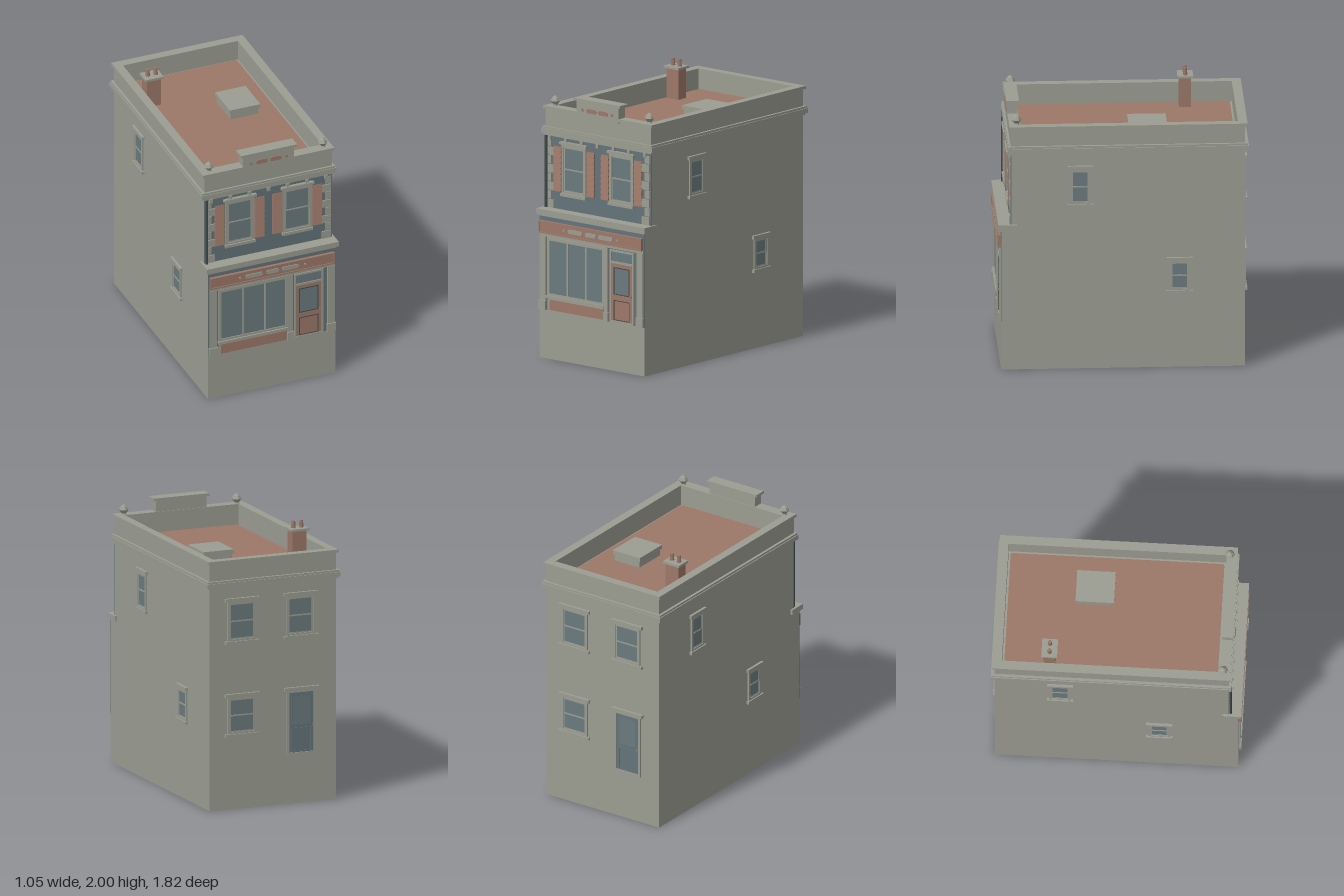
import * as THREE from 'three';

const mat = (name, color) => {
  const m = new THREE.MeshStandardMaterial({ color });
  m.name = name;
  return m;
};

export function createModel() {
  const stone = mat('stone grey', 0x9b9c91);
  const brick = mat('terracotta red', 0x9c7868);
  const slate = mat('slate blue', 0x64747a);
  const glass = mat('window glass', 0x6b7a7e);
  const dark = mat('dark iron', 0x40494c);
  const root = new THREE.Group();
  root.name = 'townhouse';

  const add = (parent, name, geo, m) => {
    const mesh = new THREE.Mesh(geo, m);
    mesh.name = name;
    parent.add(mesh);
    return mesh;
  };
  // Box given by its extents
  const box = (parent, name, m, x0, x1, y0, y1, z0, z1) => {
    const g = new THREE.BoxGeometry(x1 - x0, y1 - y0, z1 - z0);
    g.translate((x0 + x1) / 2, (y0 + y1) / 2, (z0 + z1) / 2);
    return add(parent, name, g, m);
  };
  const rect = (T, x0, x1, y0, y1) => {
    const s = new T();
    s.moveTo(x0, y0); s.lineTo(x1, y0); s.lineTo(x1, y1); s.lineTo(x0, y1); s.closePath();
    return s;
  };
  const roundRect = (x0, x1, y0, y1, r) => {
    const s = new THREE.Shape();
    s.absarc(x1 - r, y1 - r, r, 0, Math.PI / 2);
    s.absarc(x0 + r, y1 - r, r, Math.PI / 2, Math.PI);
    s.absarc(x0 + r, y0 + r, r, Math.PI, Math.PI * 1.5);
    s.absarc(x1 - r, y0 + r, r, Math.PI * 1.5, Math.PI * 2);
    s.closePath();
    return s;
  };
  const extrude = (s, depth) => new THREE.ExtrudeGeometry(s, { depth, bevelEnabled: false, curveSegments: 5 });
  // Horizontal rectangular ring: half width and z range, outside and inside
  const ring = (name, w, zb, zf, iw, izb, izf, y0, y1) => {
    const s = rect(THREE.Shape, -w, w, -zf, -zb);
    s.holes.push(rect(THREE.Path, -iw, iw, -izf, -izb));
    return add(root, name, extrude(s, y1 - y0).rotateX(-Math.PI / 2).translate(0, y0, 0), stone);
  };
  // Upright frame with an opening
  const frame = (parent, name, m, x0, x1, y0, y1, t, z, d) => {
    const s = rect(THREE.Shape, x0, x1, y0, y1);
    s.holes.push(rect(THREE.Path, x0 + t, x1 - t, y0 + t, y1 - t));
    return add(parent, name, extrude(s, d).translate(0, 0, z), m);
  };
  const pill = (name, m, x, y, w, h, z) =>
    add(root, name, extrude(roundRect(x - w / 2, x + w / 2, y - h / 2, y + h / 2, h * 0.49), 0.006).translate(0, 0, z), m);

  // Hollow foundation and main walls
  ring('foundation', 0.5, -0.885, 0.885, 0.49, -0.875, 0.875, 0, 0.36);
  box(root, 'lowerWalls', stone, -0.5, 0.5, 0.36, 1.07, -0.885, 0.88);
  box(root, 'upperWalls', stone, -0.5, 0.5, 1.07, 1.7, -0.885, 0.81);
  box(root, 'shopFrontWall', slate, -0.5, 0.5, 0.362, 1.068, 0.88, 0.885);
  box(root, 'upperFrontWall', slate, -0.5, 0.5, 1.1, 1.642, 0.81, 0.815);

  // Roof, cornice and parapet
  ring('corniceLower', 0.51, -0.895, 0.825, 0.45, -0.835, 0.745, 1.64, 1.655);
  ring('cornice', 0.527, -0.912, 0.835, 0.45, -0.835, 0.745, 1.655, 1.69);
  ring('corniceUpper', 0.52, -0.905, 0.83, 0.45, -0.835, 0.745, 1.69, 1.705);
  ring('parapet', 0.5, -0.885, 0.815, 0.45, -0.835, 0.745, 1.7, 1.835);
  ring('parapetCap', 0.515, -0.903, 0.825, 0.45, -0.835, 0.745, 1.833, 1.855);
  add(root, 'roofMembrane', extrude(roundRect(-0.435, 0.435, -0.73, 0.82, 0.015), 0.008)
    .rotateX(-Math.PI / 2).translate(0, 1.7, 0), brick);
  box(root, 'roofHatch', stone, 0.07, 0.29, 1.7, 1.76, -0.32, -0.06);
  box(root, 'roofHatchLid', stone, 0.06, 0.3, 1.76, 1.79, -0.33, -0.05);

  // Chimney with two pots
  box(root, 'chimney', brick, -0.425, -0.312, 1.7, 1.93, -0.535, -0.448);
  box(root, 'chimneyCap', stone, -0.44, -0.298, 1.93, 1.947, -0.55, -0.435);
  for (const x of [-0.4, -0.338]) {
    add(root, 'chimneyPot', new THREE.CylinderGeometry(0.013, 0.017, 0.055, 6).translate(x, 1.9725, -0.492), brick);
  }

  // Front pediment and corner finials
  box(root, 'pediment', stone, -0.2, 0.2, 1.82, 1.938, 0.75, 0.826);
  box(root, 'pedimentCap', stone, -0.22, 0.22, 1.938, 1.957, 0.74, 0.833);
  for (const s of [-1, 1]) {
    pill('pedimentInset', brick, s * 0.055, 1.875, 0.09, 0.032, 0.825);
    pill('pedimentDot', brick, s * 0.14, 1.875, 0.022, 0.022, 0.825);
    const profile = [[0, 0], [0.022, 0], [0.017, 0.012], [0.036, 0.038], [0.024, 0.06], [0, 0.08]]
      .map(p => new THREE.Vector2(...p));
    const finial = new THREE.LatheGeometry(profile, 6).toNonIndexed();
    finial.computeVertexNormals();
    add(root, 'finial', finial.translate(s * 0.447, 1.853, 0.77), stone);
  }

  // Sash window facing +z, centred on its own origin
  const sash = (name, w, h, lip, place) => {
    const g = new THREE.Group();
    g.name = name;
    const a = w / 2, b = h / 2, t = 0.018;
    frame(g, 'windowFrame', stone, -a, a, -b, b, t, 0, 0.012);
    box(g, 'windowPane', glass, -a + t, a - t, -b + t, b - t, 0, 0.004);
    frame(g, 'upperSash', stone, -a + t, a - t, -0.004, b - t, 0.009, 0.003, 0.005);
    frame(g, 'lowerSash', stone, -a + t, a - t, -b + t, 0.006, 0.009, 0.003, 0.003);
    box(g, 'windowHeader', stone, -a - lip, a + lip, b - 0.003, b + 0.022, 0, 0.02);
    box(g, 'windowSill', stone, -a - lip, a + lip, -b - 0.018, -b + 0.004, 0, 0.022);
    place(g);
    root.add(g);
    return g;
  };
  // Side windows, staggered opposite ways on the two sides
  for (const s of [-1, 1]) {
    const turn = (y, z) => g => { g.position.set(s * 0.5, y, z); g.rotation.y = s * Math.PI / 2; };
    sash('upperSideWindow', 0.16, 0.274, 0.015, turn(1.39, s > 0 ? 0.31 : -0.41));
    sash('lowerSideWindow', 0.16, 0.234, 0.015, turn(0.7, s > 0 ? -0.41 : 0.31));
  }
  // Rear windows and door
  const rear = (x, y) => g => { g.position.set(x, y, -0.885); g.rotation.y = Math.PI; };
  for (const x of [0.245, -0.22]) sash('upperRearWindow', 0.23, 0.3, 0.02, rear(x, 1.395));
  sash('lowerRearWindow', 0.23, 0.28, 0.02, rear(0.245, 0.695));
  const rd = new THREE.Group();
  rd.name = 'rearDoor';
  frame(rd, 'rearDoorFrame', stone, -0.115, 0.115, 0.36, 0.84, 0.018, 0, 0.012);
  box(rd, 'rearDoorLeaf', slate, -0.097, 0.097, 0.362, 0.822, 0, 0.005);
  frame(rd, 'rearDoorPanel', slate, -0.08, 0.08, 0.38, 0.56, 0.01, 0.005, 0.005);
  frame(rd, 'rearDoorGlazing', slate, -0.08, 0.08, 0.58, 0.805, 0.01, 0.005, 0.005);
  box(rd, 'rearDoorGlass', glass, -0.07, 0.07, 0.59, 0.795, 0.005, 0.007);
  box(rd, 'rearDoorKnob', brick, 0.083, 0.094, 0.565, 0.577, 0.005, 0.018);
  box(rd, 'rearDoorHeader', stone, -0.135, 0.135, 0.835, 0.862, 0, 0.02);
  rear(-0.225, 0)(rd);
  root.add(rd);

  // Upper front windows with louvred shutters
  for (const s of [-1, 1]) {
    const x = s * 0.225;
    sash('upperFrontWindow', 0.226, 0.365, 0.006, g => g.position.set(x, 1.41, 0.815));
    box(root, 'windowCrown', stone, x - 0.128, x + 0.128, 1.595, 1.612, 0.815, 0.84);
    for (const k of [-1, 1]) {
      const c = x + k * 0.157;
      box(root, 'shutter', brick, c - 0.037, c + 0.037, 1.235, 1.57, 0.815, 0.82);
      for (let i = 0; i < 8; i++) {
        const slat = box(root, 'shutterSlat', brick, -0.036, 0.036, -0.019, 0.019, -0.004, 0.004);
        slat.position.set(c, 1.257 + i * 0.0415, 0.822);
        slat.rotation.x = -0.2;
      }
    }
    // Corner quoins, alternating long and short
    for (let i = 0; i < 8; i++) {
      const inner = i % 2 ? 0.445 : 0.42, y = 1.108 + i * 0.065;
      const e = [s * inner, s * 0.49].sort((p, q) => p - q);
      box(root, 'quoin', stone, e[0], e[1], y, y + 0.059, 0.815, i % 2 ? 0.82 : 0.824);
    }
  }
  for (let i = -3; i <= 3; i++) {
    box(root, 'corniceBracket', stone, i * 0.15 - 0.012, i * 0.15 + 0.012, 1.612, 1.642, 0.815, 0.832);
  }
  add(root, 'drainpipe', new THREE.CylinderGeometry(0.011, 0.011, 0.54, 8).translate(-0.486, 1.37, 0.826), dark);

  // Ledge above the shop and the sign board
  box(root, 'ledge', stone, -0.517, 0.517, 1.068, 1.106, 0.77, 0.905);
  box(root, 'ledgeLip', stone, -0.505, 0.505, 1.055, 1.068, 0.79, 0.893);
  box(root, 'signBoard', brick, -0.49, 0.485, 0.93, 1.022, 0.885, 0.9);
  frame(root, 'signBorder', brick, -0.49, 0.485, 0.93, 1.022, 0.01, 0.9, 0.008);
  for (const [x, w] of [[-0.147, 0.135], [0, 0.1], [0.14, 0.135]]) pill('signInset', stone, x, 0.976, w, 0.032, 0.9);
  for (const x of [-0.255, 0.255]) pill('signDot', stone, x, 0.976, 0.016, 0.016, 0.9);
  box(root, 'shopBeam', stone, -0.49, 0.49, 0.908, 0.93, 0.885, 0.895);

  // Shop pilasters with plinths
  for (const [x, w] of [[-0.462, 0.056], [0.462, 0.056], [0.142, 0.034]]) {
    box(root, 'pilaster', stone, x - w / 2, x + w / 2, 0.362, 0.91, 0.885, 0.897);
    box(root, 'pilasterBase', stone, x - w / 2 - 0.006, x + w / 2 + 0.006, 0.362, 0.43, 0.885, 0.905);
  }

  // Display window with three panes
  frame(root, 'displayFrame', stone, -0.422, 0.126, 0.465, 0.905, 0.024, 0.885, 0.009);
  box(root, 'displayGlass', glass, -0.398, 0.102, 0.489, 0.881, 0.885, 0.888);
  for (const x of [-0.23, -0.055]) box(root, 'displayMullion', stone, x - 0.007, x + 0.007, 0.489, 0.881, 0.885, 0.893);
  box(root, 'displaySill', stone, -0.425, 0.125, 0.453, 0.473, 0.885, 0.905);
  box(root, 'stallRiserTrim', stone, -0.42, 0.125, 0.362, 0.453, 0.885, 0.887);
  box(root, 'stallRiser', brick, -0.4, 0.115, 0.365, 0.442, 0.887, 0.892);

  // Shop door with transom light
  frame(root, 'doorFrame', stone, 0.172, 0.402, 0.362, 0.9, 0.014, 0.885, 0.009);
  box(root, 'doorLeaf', brick, 0.186, 0.388, 0.364, 0.8, 0.885, 0.89);
  frame(root, 'doorGlazing', dark, 0.212, 0.362, 0.57, 0.772, 0.006, 0.89, 0.004);
  box(root, 'doorGlass', glass, 0.218, 0.356, 0.576, 0.766, 0.89, 0.892);
  frame(root, 'doorPanel', dark, 0.212, 0.362, 0.38, 0.528, 0.005, 0.89, 0.003);
  box(root, 'doorKnob', brick, 0.367, 0.379, 0.565, 0.577, 0.89, 0.902);
  box(root, 'transomBar', stone, 0.186, 0.388, 0.8, 0.816, 0.885, 0.894);
  box(root, 'transomGlass', glass, 0.186, 0.388, 0.816, 0.886, 0.885, 0.888);

  return root;
}
